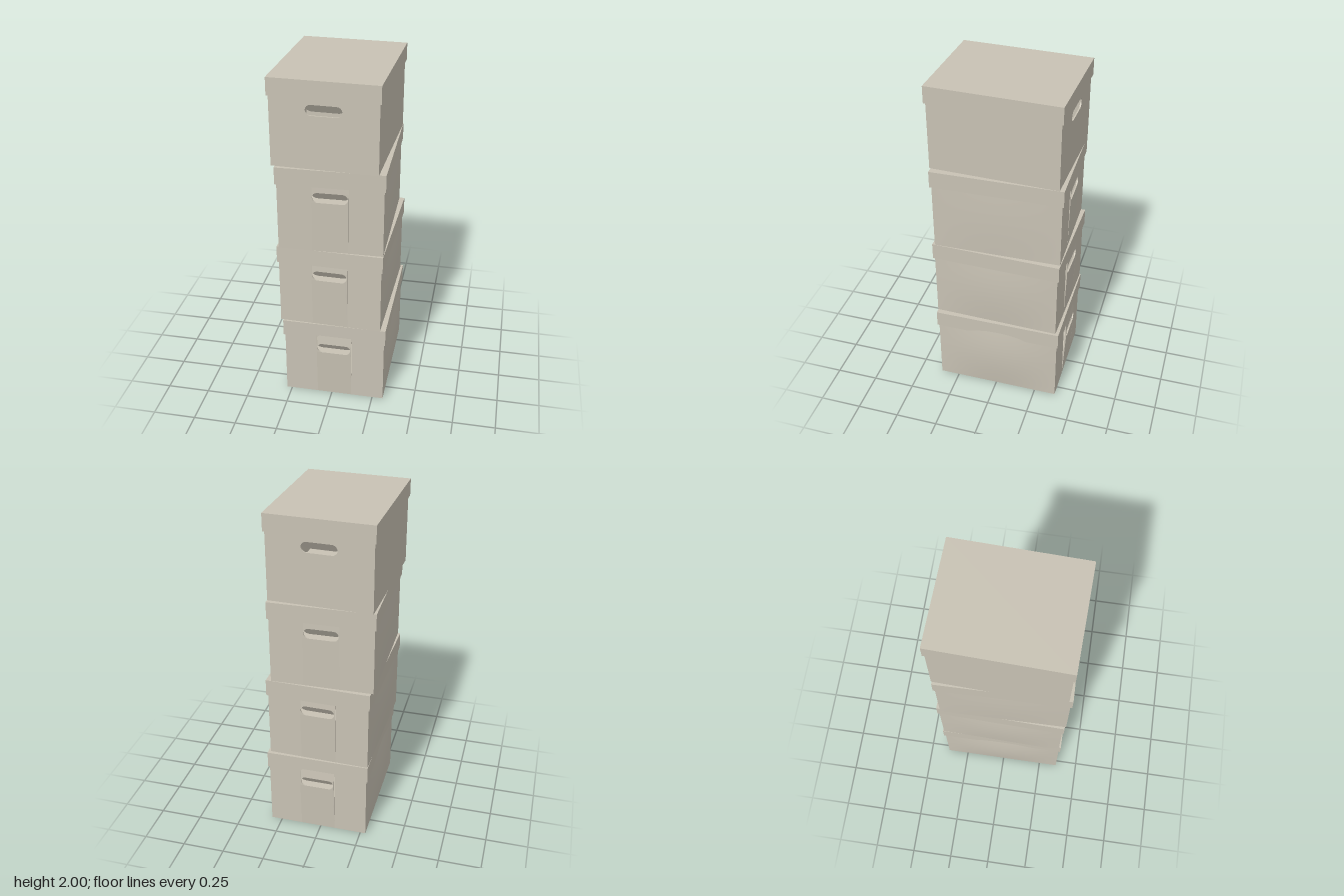
import * as THREE from 'three';

const W = 0.596, H = 0.5, D = 0.744;            // carton body
const LID_W = 0.613, LID_H = 0.1, LID_D = 0.763;
const SLOT_W = 0.2, SLOT_LOW = 0.305, SLOT_HIGH = 0.365;
const PANEL = 0.104;                            // half width of the handle panel
const WALL = 0.008;

// Rounded handle slot, centred on x = 0
function slotPath(PathType) {
  const r = (SLOT_HIGH - SLOT_LOW) / 2, cx = SLOT_W / 2 - r, cy = SLOT_LOW + r;
  const path = new PathType();
  path.absarc(cx, cy, r, -Math.PI / 2, Math.PI / 2, false);
  path.absarc(-cx, cy, r, Math.PI / 2, Math.PI * 1.5, false);
  path.closePath();
  return path;
}

// Worn side wall, swelling towards its middle
function sideGeometry(bulge) {
  const geo = new THREE.PlaneGeometry(D, H, 12, 10);
  const p = geo.attributes.position;
  for (let i = 0; i < p.count; i++) {
    p.setZ(i, bulge * Math.cos(Math.PI * p.getX(i) / D) * Math.cos(Math.PI * p.getY(i) / H));
  }
  geo.computeVertexNormals();
  return geo;
}

// Middle of an end wall: slot cut out, pulled outwards around the slot
function panelGeometry(pull) {
  const shape = new THREE.Shape([
    [-PANEL, 0], [PANEL, 0], [PANEL, SLOT_LOW], [PANEL, SLOT_HIGH], [PANEL, H],
    [-PANEL, H], [-PANEL, SLOT_HIGH], [-PANEL, SLOT_LOW],
  ].map(([x, y]) => new THREE.Vector2(x, y)));
  shape.holes.push(slotPath(THREE.Path));
  const geo = new THREE.ExtrudeGeometry(shape, { depth: WALL, bevelEnabled: false, curveSegments: 8 });
  const p = geo.attributes.position;
  for (let i = 0; i < p.count; i++) {
    const y = p.getY(i);
    const k = Math.min(1, y / SLOT_LOW, (H - y) / (H - SLOT_HIGH));
    p.setZ(i, p.getZ(i) - WALL + pull * k);
  }
  geo.computeVertexNormals();
  return geo;
}

function createCarton(card, bulge, pull) {
  const carton = new THREE.Group();
  const add = (parent, name, geo, x = 0, y = 0, z = 0) => {
    const mesh = new THREE.Mesh(geo, card);
    mesh.name = name;
    mesh.position.set(x, y, z);
    parent.add(mesh);
    return mesh;
  };

  add(carton, 'lid', new THREE.BoxGeometry(LID_W, LID_H, LID_D), 0, H - LID_H / 2, 0);
  add(carton, 'base', new THREE.BoxGeometry(W, 0.004, D), 0, 0.002, 0);

  for (const s of [1, -1]) {
    const side = add(carton, s > 0 ? 'leftSide' : 'rightSide', sideGeometry(bulge), s * W / 2, H / 2, 0);
    side.rotation.y = s * Math.PI / 2;

    // End wall: two flat strips, the handle panel and the pushed-in flap
    const end = new THREE.Group();
    end.name = s > 0 ? 'frontEnd' : 'backEnd';
    end.position.z = s * D / 2;
    end.rotation.y = s > 0 ? 0 : Math.PI;
    const stripW = W / 2 - PANEL;
    for (const t of [1, -1]) {
      add(end, 'endStrip', new THREE.BoxGeometry(stripW, H, WALL), t * (PANEL + stripW / 2), H / 2, -WALL / 2);
    }
    add(end, 'handlePanel', panelGeometry(pull));
    const flapGeo = new THREE.ShapeGeometry(slotPath(THREE.Shape), 8);
    flapGeo.translate(0, -SLOT_HIGH, 0);
    const flap = add(end, 'handleFlap', flapGeo, 0, SLOT_HIGH, pull - 0.002);
    flap.rotation.x = 0.6;
    carton.add(end);
  }
  return carton;
}

export function createModel() {
  const model = new THREE.Group();
  model.name = 'cartonStack';
  const card = new THREE.MeshStandardMaterial({ color: 0xc8c2b4, side: THREE.DoubleSide });
  card.name = 'greyCard';

  // x, z, turn, side bulge, handle pull; the lower cartons are more crushed
  const stack = [
    [0.0165, -0.008, 0, 0.02, 0.016],
    [0.002, -0.004, -0.024, 0.014, 0.01],
    [-0.006, 0.001, 0.015, 0.007, 0.005],
    [-0.0175, 0.003, -0.036, 0, 0],
  ];
  stack.forEach(([x, z, turn, bulge, pull], i) => {
    const carton = createCarton(card, bulge, pull);
    carton.name = 'carton' + (i + 1);
    carton.position.set(x, i * H, z);
    carton.rotation.y = turn;
    model.add(carton);
  });
  return model;
}
